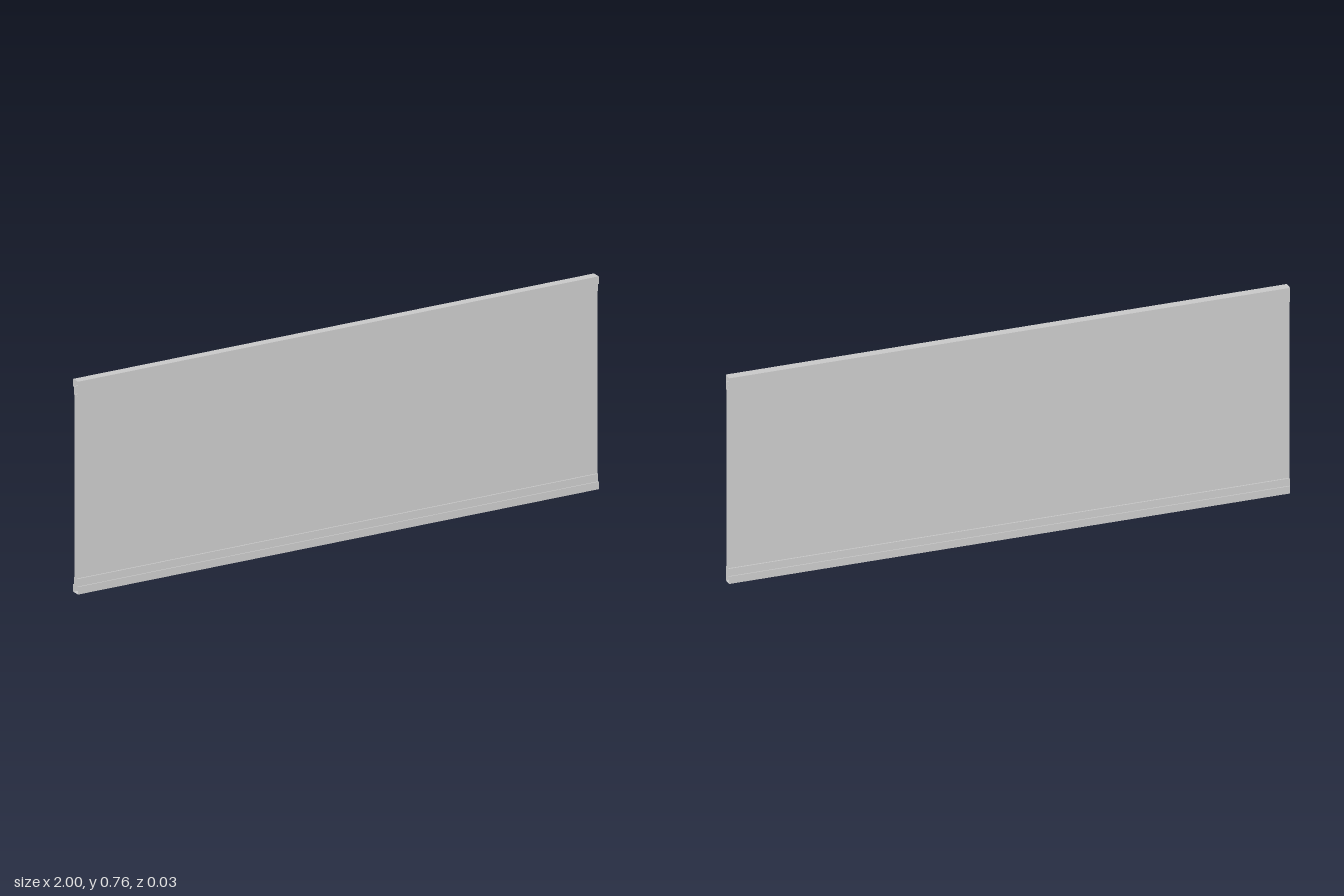
import * as THREE from 'three';

const HALF_LENGTH = 1;
const HEIGHT = 0.76;
const PANEL_Z = 0.007; // half thickness of the panel
const STEP_Z = 0.012; // half thickness of the inner rail step
const LIP_Z = 0.016; // half thickness of the outer rail lip

// Sweeps an open [z, y] outline along x, leaving the ends open, with flat facets.
function sweep(name, outline, material) {
  const positions = [];
  for (let i = 0; i < outline.length - 1; i++) {
    const [z0, y0] = outline[i];
    const [z1, y1] = outline[i + 1];
    const a = [-HALF_LENGTH, y0, z0], b = [HALF_LENGTH, y0, z0];
    const c = [HALF_LENGTH, y1, z1], d = [-HALF_LENGTH, y1, z1];
    positions.push(...a, ...b, ...c, ...a, ...c, ...d);
  }
  const geometry = new THREE.BufferGeometry();
  geometry.setAttribute('position', new THREE.Float32BufferAttribute(positions, 3));
  geometry.computeVertexNormals();
  const mesh = new THREE.Mesh(geometry, material);
  mesh.name = name;
  return mesh;
}

export function createModel() {
  const group = new THREE.Group();
  group.name = 'railedPanel';
  const material = new THREE.MeshStandardMaterial({ color: 0xcccccc, side: THREE.DoubleSide });

  // Front half of the top rail, from the panel up to the top edge
  const half = [
    [PANEL_Z, HEIGHT - 0.054],
    [STEP_Z, HEIGHT - 0.054],
    [STEP_Z, HEIGHT - 0.027],
    [LIP_Z, HEIGHT - 0.027],
    [LIP_Z, HEIGHT],
  ];
  const topOutline = [...half, ...half.map(([z, y]) => [-z, y]).reverse()];
  // Turning the outline upside down and reversing it keeps the faces outward
  const bottomOutline = topOutline.map(([z, y]) => [z, HEIGHT - y]).reverse();

  group.add(sweep('topRail', topOutline, material));
  group.add(sweep('bottomRail', bottomOutline, material));

  // Front and back sheets between the rails
  const low = 0.054, high = HEIGHT - 0.054;
  group.add(sweep('frontSheet', [[PANEL_Z, low], [PANEL_Z, high]], material));
  group.add(sweep('backSheet', [[-PANEL_Z, high], [-PANEL_Z, low]], material));

  return group;
}
